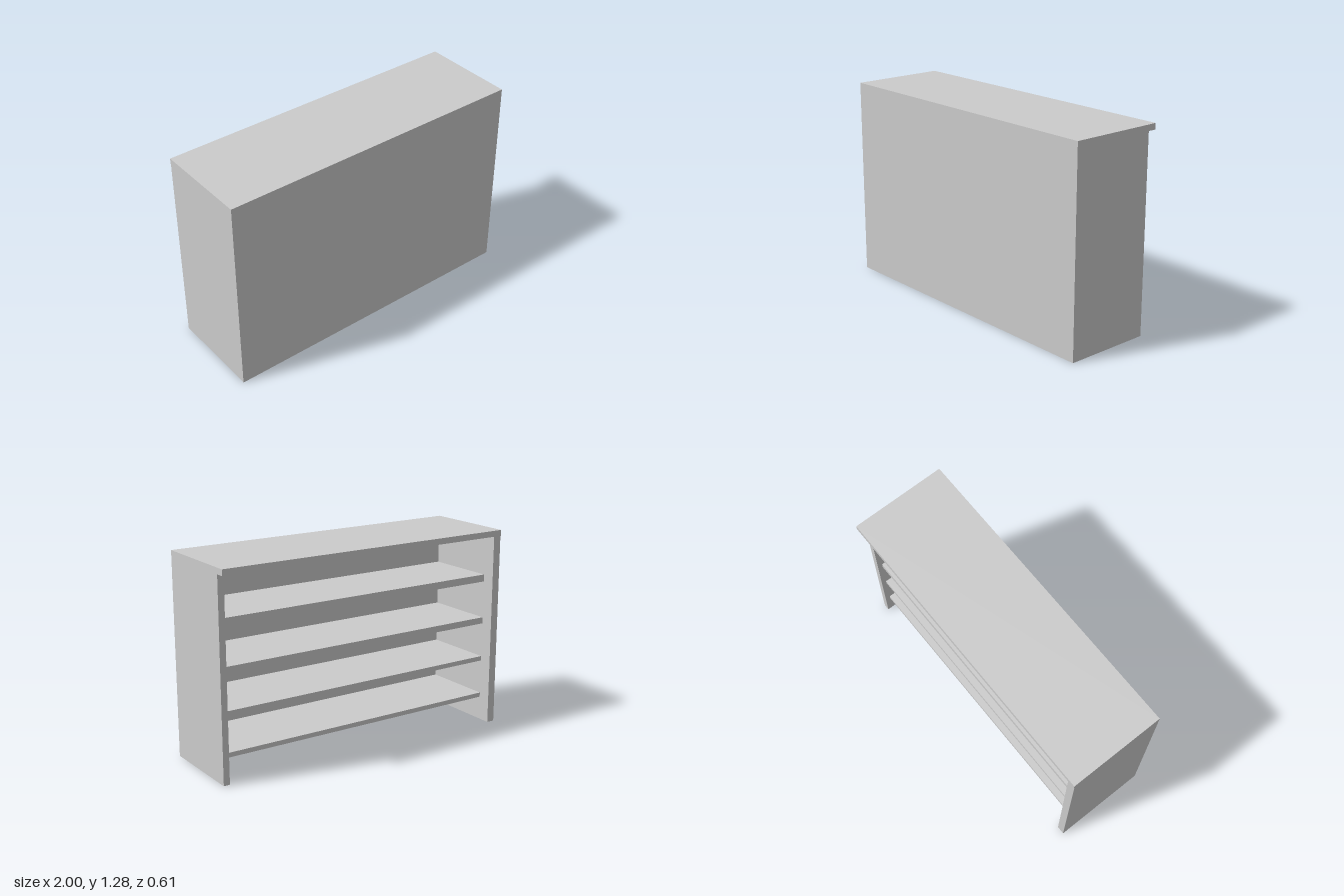
import * as THREE from 'three';

export function createModel() {
  const group = new THREE.Group();
  group.name = 'counter';
  const material = new THREE.MeshStandardMaterial({ color: 0xcccccc, flatShading: true });

  // Box given by its minimum and maximum corners
  function board(name, [x0, y0, z0], [x1, y1, z1]) {
    const mesh = new THREE.Mesh(new THREE.BoxGeometry(x1 - x0, y1 - y0, z1 - z0), material);
    mesh.position.set((x0 + x1) / 2, (y0 + y1) / 2, (z0 + z1) / 2);
    mesh.name = name;
    group.add(mesh);
  }

  const depth = 0.307; // half depth
  const height = 1.283;
  const under = 1.245; // underside of the top
  const inner = 0.247; // inside face of the front panel
  const leftInner = 0.96;
  const rightInner = -0.948;

  // Outer shell, open at the back and bottom
  board('top', [-1, under, -depth], [1, height, depth]);
  board('frontPanel', [-1, 0, inner], [1, under, depth]);

  // The left side panel stops short of the back edge of the top
  board('leftSidePanel', [leftInner, 0, -0.252], [1, under, inner]);
  board('rightSidePanel', [-1, 0, -0.304], [rightInner, under, inner]);

  // Shelves, [underside, upper face], thicker towards the top
  const shelves = [[0.153, 0.182], [0.405, 0.435], [0.658, 0.699], [0.938, 0.984]];
  shelves.forEach(([y0, y1], i) => {
    board(`shelf${i + 1}`, [rightInner, y0, -0.22], [leftInner, y1, inner]);
  });

  return group;
}
